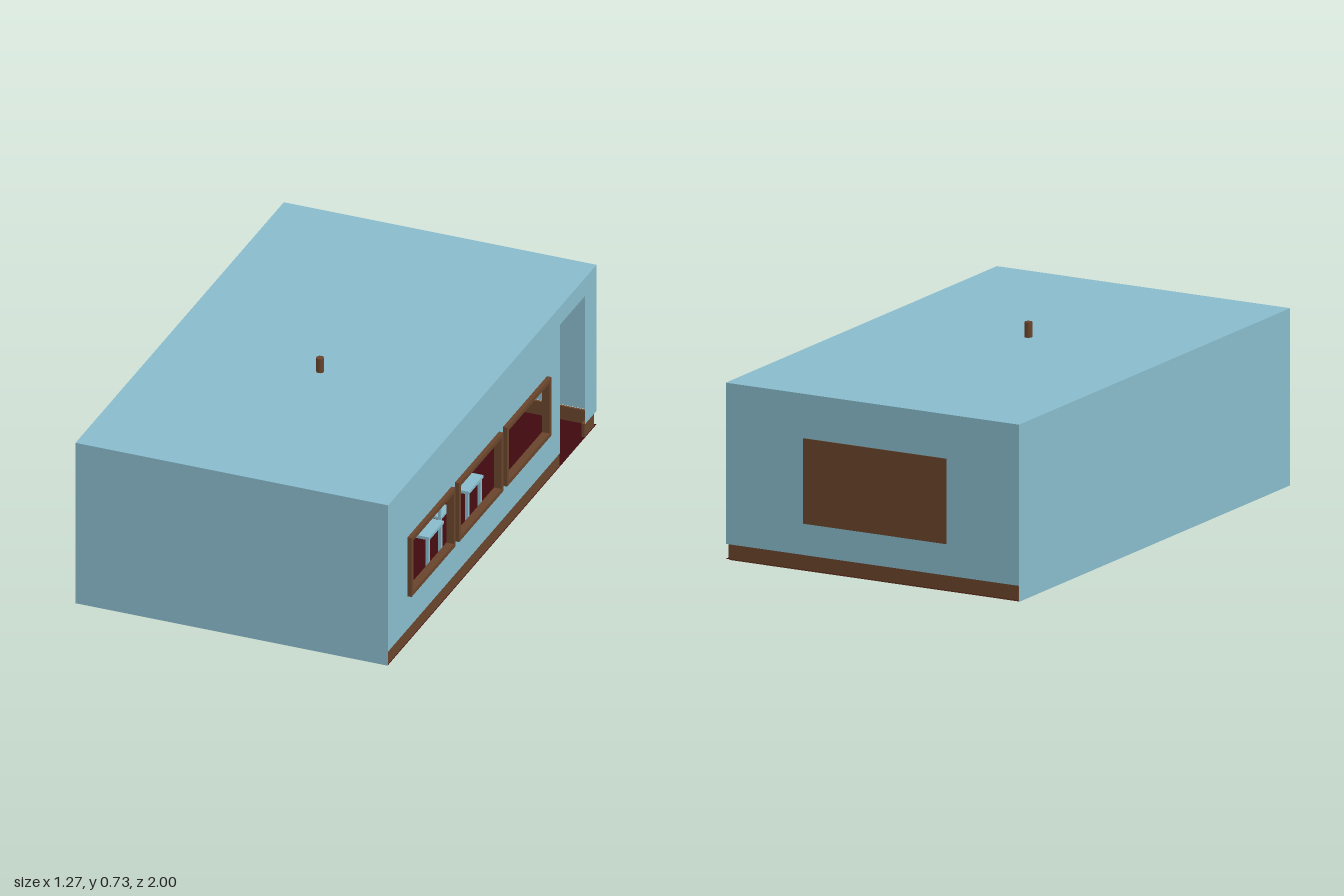
import * as THREE from 'three';

export function createModel() {
  const mat = (name, color, side = THREE.FrontSide) => {
    const m = new THREE.MeshStandardMaterial({ color, side });
    m.name = name;
    return m;
  };
  const paint = mat('pale blue paint', 0x88bbcb, THREE.DoubleSide);
  const wood = mat('brown wood', 0x69442b);
  const carpet = mat('dark red floor', 0x3f0a0e, THREE.DoubleSide);

  const X0 = -0.635, X1 = 0.615, H = 0.675, SKIRT = 0.06;
  const room = new THREE.Group();
  room.name = 'classroom';

  const add = (parent, name, geometry, material, x = 0, y = 0, z = 0) => {
    const mesh = new THREE.Mesh(geometry, material);
    mesh.name = name;
    mesh.position.set(x, y, z);
    parent.add(mesh);
    return mesh;
  };
  // box given by its minimum and maximum along each axis
  const block = (parent, name, material, x0, x1, y0, y1, z0, z1) =>
    add(parent, name, new THREE.BoxGeometry(x1 - x0, y1 - y0, z1 - z0), material,
      (x0 + x1) / 2, (y0 + y1) / 2, (z0 + z1) / 2);
  const rect = (Type, a, b, c, d) => new Type([
    new THREE.Vector2(a, c), new THREE.Vector2(b, c), new THREE.Vector2(b, d), new THREE.Vector2(a, d)]);
  const cx = (X0 + X1) / 2, w = X1 - X0;

  // Shell: roof, floor and plain walls
  add(room, 'roof', new THREE.PlaneGeometry(w, 2).rotateX(-Math.PI / 2), paint, cx, H, 0);
  add(room, 'floor', new THREE.PlaneGeometry(w, 2).rotateX(-Math.PI / 2), carpet, cx, 0.004, 0);
  add(room, 'frontWall', new THREE.PlaneGeometry(w, H), paint, cx, H / 2, 1);
  add(room, 'rightWall', new THREE.PlaneGeometry(2, H).rotateY(-Math.PI / 2), paint, X0, H / 2, 0);
  add(room, 'backWall', new THREE.PlaneGeometry(w, H - SKIRT).rotateY(Math.PI), paint, cx, (H + SKIRT) / 2, -0.997);

  // Window wall: shape coordinates are (-z, y), with a notch for the doorway
  const outline = [[-1, SKIRT], [0.65, SKIRT], [0.65, 0.6], [0.89, 0.6], [0.89, SKIRT], [1, SKIRT], [1, H], [-1, H]];
  const wall = new THREE.Shape(outline.map(([u, v]) => new THREE.Vector2(u, v)));
  const windows = [-0.605, -0.148, 0.313];
  const half = 0.212, sill = 0.2, head = 0.447, t = 0.018;
  for (const u of windows) {
    wall.holes.push(rect(THREE.Path, u - half + 0.004, u + half - 0.004, sill + 0.004, head - 0.004));
    const frame = rect(THREE.Shape, u - half, u + half, sill, head);
    frame.holes.push(rect(THREE.Path, u - half + t, u + half - t, sill + t, head - t));
    add(room, 'windowFrame', new THREE.ExtrudeGeometry(frame, { depth: 0.03, bevelEnabled: false })
      .rotateY(Math.PI / 2), wood, 0.602);
  }
  add(room, 'windowWall', new THREE.ShapeGeometry(wall).rotateY(Math.PI / 2), paint, X1);

  // Skirting, broken at the doorway
  block(room, 'skirting', wood, 0.6, 0.612, 0, SKIRT, -0.65, 0.995);
  block(room, 'skirting', wood, 0.6, 0.612, 0, SKIRT, -0.985, -0.89);
  block(room, 'skirting', wood, X0 + 0.005, 0.6, 0, SKIRT, -0.995, -0.985);
  block(room, 'skirting', wood, X0 + 0.005, X0 + 0.017, 0.005, SKIRT, -0.985, 0.985);
  block(room, 'skirting', wood, X0 + 0.017, 0.6, 0.005, SKIRT, 0.985, 0.995);

  // Board set through the back wall
  block(room, 'board', wood, -0.325, 0.285, 0.18, 0.505, -1, -0.985);

  // Ceiling fan whose rod passes through the roof
  const fan = new THREE.Group();
  fan.name = 'ceilingFan';
  fan.position.set(-0.012, 0, 0.147);
  room.add(fan);
  add(fan, 'fanRod', new THREE.CylinderGeometry(0.015, 0.015, 0.173, 10), wood, 0, 0.6465);
  add(fan, 'fanHub', new THREE.CylinderGeometry(0.035, 0.035, 0.03, 16), wood, 0, 0.56);
  for (let i = 0; i < 4; i++) {
    const blade = add(fan, 'fanBlade', new THREE.BoxGeometry(0.17, 0.006, 0.045).translate(0.11, 0, 0), wood, 0, 0.56);
    blade.rotation.y = i * Math.PI / 2;
  }

  // Teacher's desk
  const desk = new THREE.Group();
  desk.name = 'teacherDesk';
  room.add(desk);
  block(desk, 'drawers', wood, -0.51, -0.33, 0, 0.205, -0.6, -0.38);
  block(desk, 'frontPanel', wood, -0.33, 0.03, 0, 0.205, -0.365, -0.353);
  block(desk, 'sidePanel', wood, 0.018, 0.03, 0, 0.205, -0.58, -0.353);
  block(desk, 'deskTop', wood, -0.52, 0.06, 0.205, 0.22, -0.62, -0.34);

  // Pupil desks in rows, each with a chair behind it
  const legs = (parent, name, hw, hd, top, z) => {
    for (const sx of [-1, 1]) for (const sz of [-1, 1])
      add(parent, name, new THREE.BoxGeometry(0.012, top, 0.012), paint, sx * hw, top / 2, z + sz * hd);
  };
  for (const x of [-0.4, -0.01, 0.38]) for (const z of [-0.12, 0.26, 0.64]) {
    const seat = new THREE.Group();
    seat.name = 'pupilDesk';
    seat.position.set(x, 0.005, z);
    room.add(seat);
    add(seat, 'tableTop', new THREE.BoxGeometry(0.24, 0.012, 0.14), paint, 0, 0.165);
    legs(seat, 'tableLeg', 0.11, 0.06, 0.16, 0);
    add(seat, 'chairSeat', new THREE.BoxGeometry(0.11, 0.01, 0.1), paint, 0, 0.1, 0.13);
    legs(seat, 'chairLeg', 0.048, 0.043, 0.096, 0.13);
    for (const s of [-1, 1])
      add(seat, 'chairPost', new THREE.BoxGeometry(0.01, 0.09, 0.01), paint, s * 0.048, 0.148, 0.175);
    add(seat, 'chairBack', new THREE.BoxGeometry(0.11, 0.04, 0.008), paint, 0, 0.173, 0.175);
  }
  return room;
}
